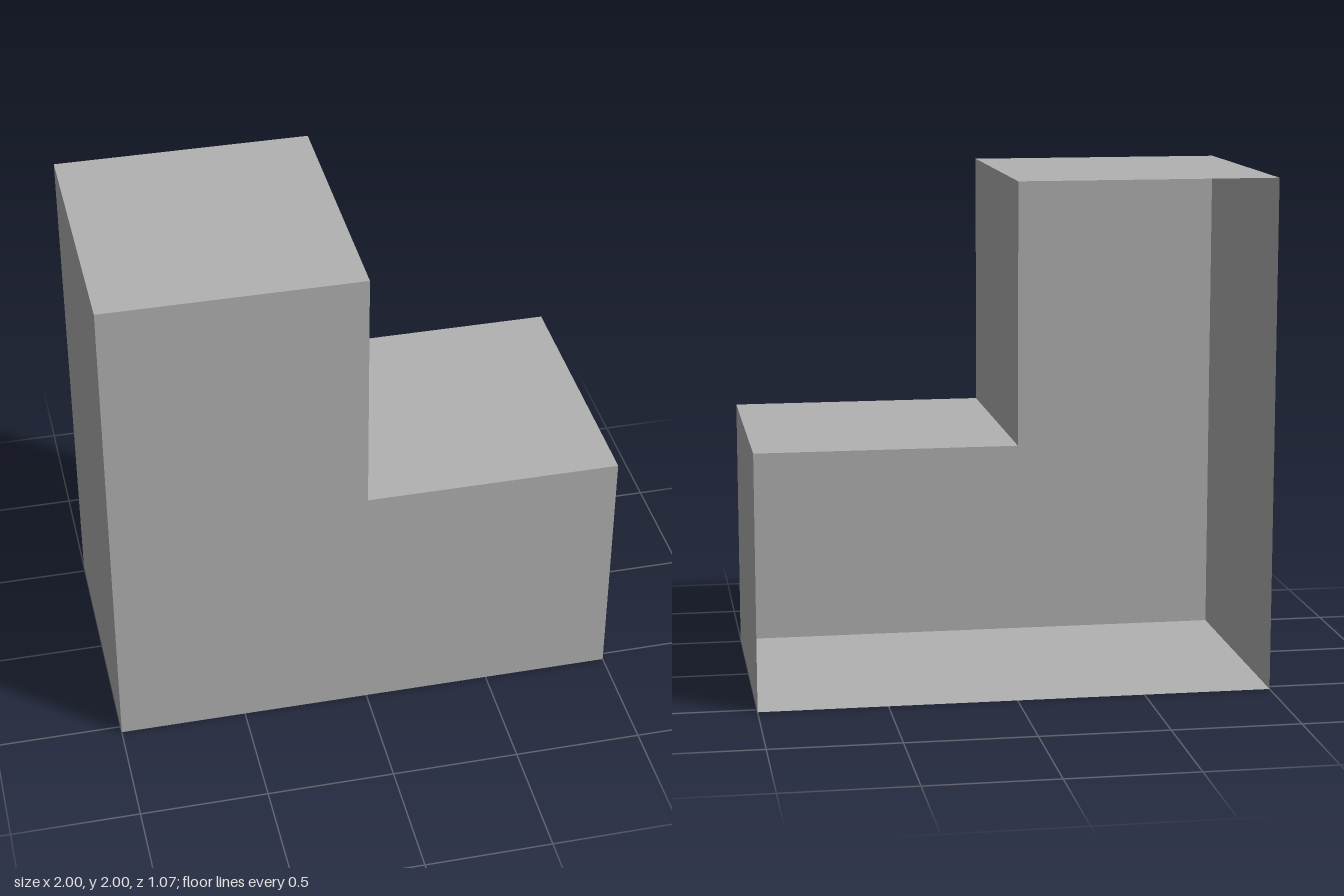
import * as THREE from 'three';

// L-shaped hollow shell: thin front face and side walls, open at the back
export function createModel() {
  const group = new THREE.Group();
  group.name = 'steppedShell';
  const grey = new THREE.MeshStandardMaterial({ color: 0xb2b2b2, side: THREE.DoubleSide });
  grey.name = 'grey';

  const halfDepth = 0.533;
  const outline = [[-1, 0], [1, 0], [1, 1], [0, 1], [0, 2], [-1, 2]]
    .map(([x, y]) => new THREE.Vector2(x, y));
  const wallNames = ['floor', 'leftWall', 'stepTread', 'stepRiser', 'topPanel', 'rightWall'];

  // Front face
  const front = new THREE.Mesh(new THREE.ShapeGeometry(new THREE.Shape(outline)), grey);
  front.name = 'frontFace';
  front.position.z = halfDepth;
  group.add(front);

  // One flat wall along each edge of the outline, facing outwards
  outline.forEach((a, i) => {
    const b = outline[(i + 1) % outline.length];
    const edge = b.clone().sub(a);
    const along = new THREE.Vector3(edge.x, edge.y, 0).normalize();
    const outward = new THREE.Vector3(along.y, -along.x, 0);
    const depth = new THREE.Vector3().crossVectors(outward, along);
    const wall = new THREE.Mesh(new THREE.PlaneGeometry(edge.length(), 2 * halfDepth), grey);
    wall.name = wallNames[i];
    wall.quaternion.setFromRotationMatrix(new THREE.Matrix4().makeBasis(along, depth, outward));
    wall.position.set((a.x + b.x) / 2, (a.y + b.y) / 2, 0);
    group.add(wall);
  });

  return group;
}
